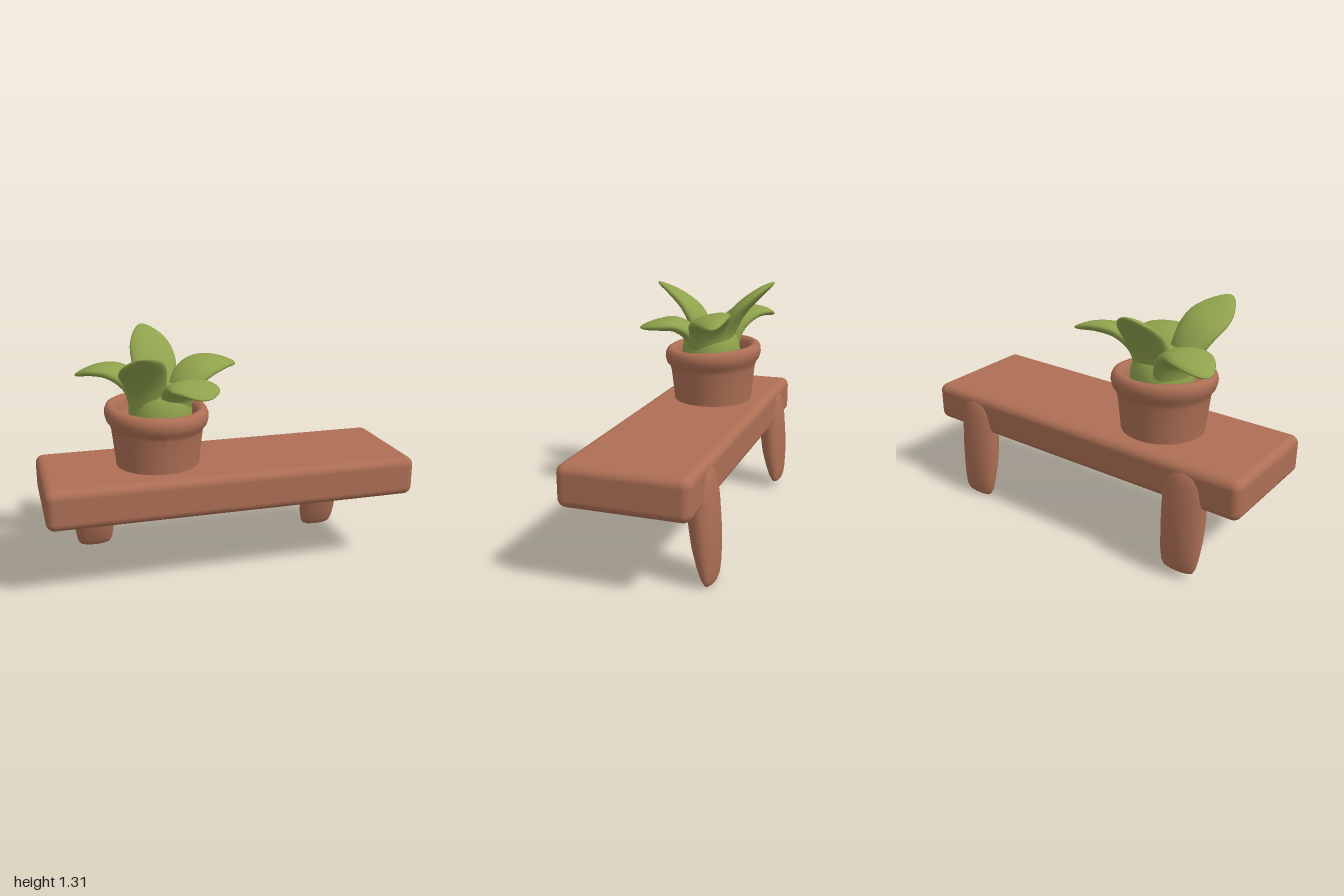
import * as THREE from 'three';
import { RoundedBoxGeometry } from 'three/addons/geometries/RoundedBoxGeometry.js';

const clay = new THREE.MeshStandardMaterial({ color: 0xad6f54 });
clay.name = 'terracotta';
const green = new THREE.MeshStandardMaterial({ color: 0x8fa24c });
green.name = 'leaf green';

// Smooth closed skin over elliptical stations { c: centre, s: side radius, n: thickness radius }
function loft(stations, sides = 24) {
  const pos = [], index = [];
  stations.forEach(({ c, s, n }) => {
    for (let j = 0; j < sides; j++) {
      const a = (j / sides) * Math.PI * 2;
      const p = c.clone().addScaledVector(s, Math.cos(a)).addScaledVector(n, Math.sin(a));
      pos.push(p.x, p.y, p.z);
    }
  });
  for (let i = 0; i < stations.length - 1; i++) {
    for (let j = 0; j < sides; j++) {
      const k = (j + 1) % sides;
      const a = i * sides + j, b = i * sides + k;
      index.push(a, b, a + sides, b, b + sides, a + sides);
    }
  }
  const g = new THREE.BufferGeometry();
  g.setAttribute('position', new THREE.Float32BufferAttribute(pos, 3));
  g.setIndex(index);
  g.computeVertexNormals();
  return g;
}

function part(name, geometry, material) {
  const mesh = new THREE.Mesh(geometry, material);
  mesh.name = name;
  return mesh;
}

// Leaf along points [x, y, z, half width]; tilt raises one edge
function leafGeometry(points, tilt) {
  const path = new THREE.CatmullRomCurve3(points.map(p => new THREE.Vector3(p[0], p[1], p[2])));
  const width = new THREE.CatmullRomCurve3(points.map((p, i) => new THREE.Vector3(p[3], i, 0)));
  const a = points[0], b = points[points.length - 1];
  const flat = new THREE.Vector3(-(b[2] - a[2]), 0, b[0] - a[0]).normalize();
  flat.y = tilt;
  const stations = [];
  for (let i = 0; i <= 22; i++) {
    const t = Math.sin((i / 22) * Math.PI / 2);
    const T = path.getTangent(t);
    const S = flat.clone().addScaledVector(T, -flat.dot(T)).normalize();
    const N = new THREE.Vector3().crossVectors(T, S);
    const cap = Math.max(Math.sqrt(Math.max(1 - t ** 5, 0)), 0.002);
    stations.push({
      c: path.getPoint(t),
      s: S.multiplyScalar(width.getPoint(t).x * cap),
      n: N.multiplyScalar((0.055 - 0.028 * t) * cap),
    });
  }
  return loft(stations);
}

// Bracket hanging behind the shelf, stations [y, front z, back z, half width]
function bracketGeometry(x, bottom) {
  const rows = [
    [0.59, -0.325, -0.33, 0.01], [0.57, -0.3, -0.345, 0.07], [0.52, -0.25, -0.36, 0.11],
    [0.43, -0.23, -0.373, 0.123], [0.3, -0.236, -0.383, 0.122], [0.2, -0.25, -0.386, 0.118],
    [0.1, -0.277, -0.383, 0.11], [0.04, -0.3, -0.376, 0.1], [0.012, -0.317, -0.366, 0.085],
    [0.002, -0.328, -0.356, 0.06], [0, -0.341, -0.343, 0.002],
  ];
  return loft(rows.map(([y, f, b, w]) => ({
    c: new THREE.Vector3(x, bottom + y * (1 - bottom / 0.59), (f + b) / 2),
    s: new THREE.Vector3(w, 0, 0),
    n: new THREE.Vector3(0, 0, (f - b) / 2),
  })));
}

export function createModel() {
  const model = new THREE.Group();
  model.name = 'shelfWithPlant';

  // Shelf board
  const shelf = part('shelf', new RoundedBoxGeometry(2, 0.215, 0.66, 5, 0.045), clay);
  shelf.position.set(0, 0.513, -0.005);
  model.add(shelf);

  // Brackets
  model.add(part('rightBracket', bracketGeometry(-0.69, 0.03), clay));
  model.add(part('leftBracket', bracketGeometry(0.7, 0), clay));

  // Pot: hollow, with a rolled rim that tilts slightly
  const profile = [
    [0.222, 0.6], [0.226, 0.65], [0.236, 0.74], [0.244, 0.81], [0.252, 0.835], [0.268, 0.855],
    [0.277, 0.885], [0.276, 0.91], [0.266, 0.932], [0.248, 0.942], [0.228, 0.936],
    [0.214, 0.915], [0.207, 0.88], [0.2, 0.85], [0.001, 0.85],
  ].map(p => new THREE.Vector2(...p));
  const potGeometry = new THREE.LatheGeometry(profile, 40);
  const v = potGeometry.attributes.position;
  for (let i = 0; i < v.count; i++) {
    const lift = THREE.MathUtils.smoothstep(v.getY(i), 0.65, 0.9);
    v.setY(i, v.getY(i) - lift * (0.045 * v.getX(i) + 0.055 * v.getZ(i)));
  }
  potGeometry.computeVertexNormals();
  const pot = part('pot', potGeometry, clay);
  pot.position.set(-0.368, 0, -0.012);
  model.add(pot);

  // Plant: joined stems in the middle, then five leaves
  const plant = new THREE.Group();
  plant.name = 'plant';
  const stemProfile = [[0.17, 0.84], [0.168, 0.92], [0.155, 0.98], [0.125, 1.03], [0.07, 1.045], [0.001, 1.04]]
    .map(p => new THREE.Vector2(...p));
  const stems = part('stems', new THREE.LatheGeometry(stemProfile, 28), green);
  stems.position.set(-0.35, 0, -0.005);
  plant.add(stems);

  const leaves = {
    backLeaf: [0, [
      [-0.35, 0.86, -0.07, 0.1], [-0.35, 1.02, -0.1, 0.11], [-0.345, 1.14, -0.17, 0.125],
      [-0.355, 1.23, -0.26, 0.12], [-0.375, 1.31, -0.365, 0.085]]],
    frontRightLeaf: [-0.35, [
      [-0.41, 0.86, 0.05, 0.1], [-0.43, 1.02, 0.08, 0.1], [-0.46, 1.13, 0.15, 0.12],
      [-0.495, 1.2, 0.25, 0.125], [-0.52, 1.265, 0.38, 0.085]]],
    frontLeftLeaf: [0, [
      [-0.3, 0.86, 0.06, 0.09], [-0.28, 1.0, 0.09, 0.1], [-0.24, 1.065, 0.17, 0.125],
      [-0.215, 1.065, 0.26, 0.145], [-0.205, 1.045, 0.375, 0.11]]],
    leftLeaf: [-0.25, [
      [-0.27, 0.86, -0.02, 0.1], [-0.22, 1.03, -0.03, 0.11], [-0.13, 1.11, -0.065, 0.12],
      [-0.02, 1.13, -0.11, 0.105], [0.105, 1.11, -0.155, 0.07]]],
    rightLeaf: [0, [
      [-0.43, 0.86, -0.05, 0.1], [-0.47, 1.03, -0.09, 0.105], [-0.56, 1.1, -0.15, 0.115],
      [-0.65, 1.105, -0.2, 0.125], [-0.76, 1.07, -0.26, 0.1]]],
  };
  for (const [name, [tilt, points]] of Object.entries(leaves)) {
    plant.add(part(name, leafGeometry(points, tilt), green));
  }
  model.add(plant);

  return model;
}
